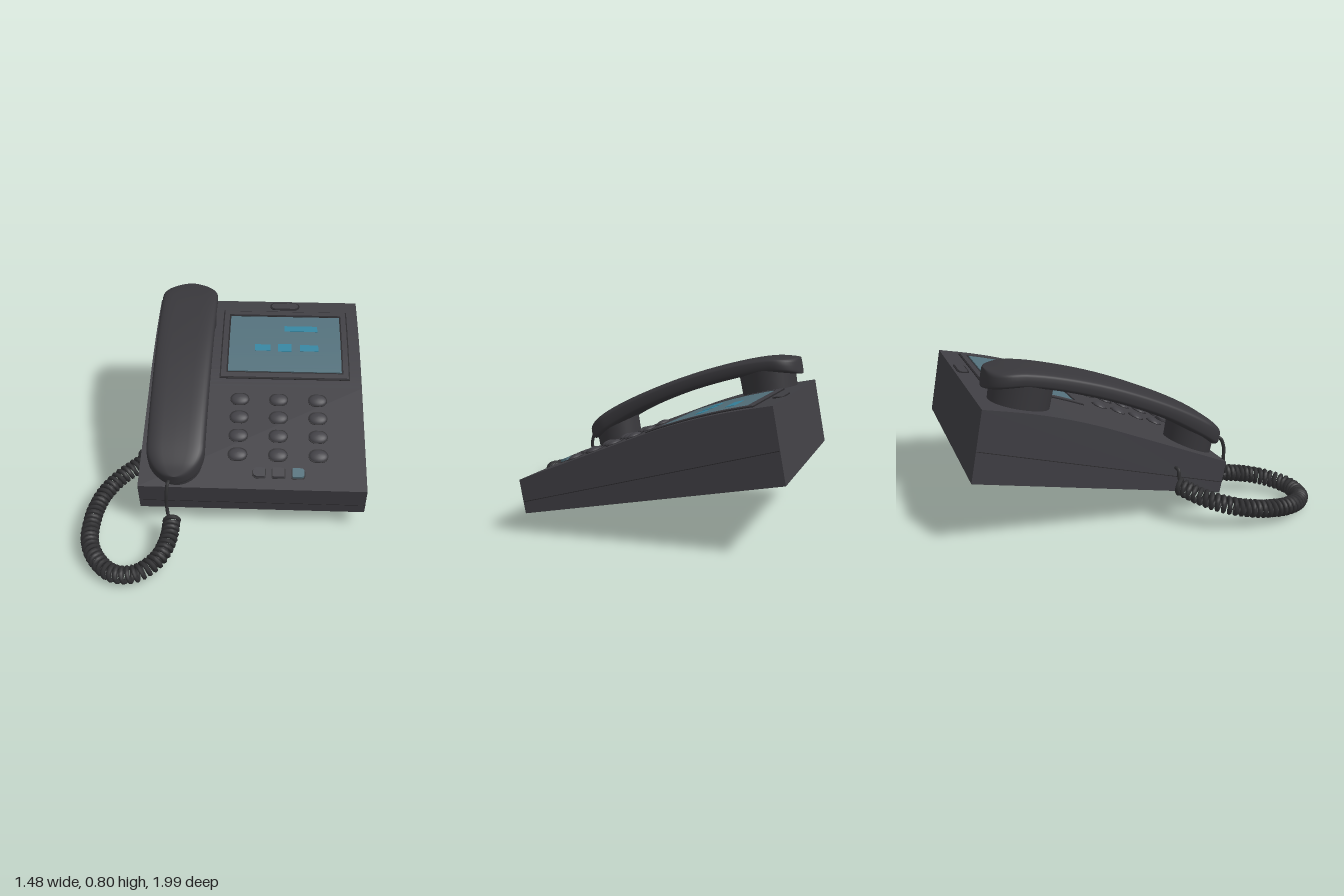
import * as THREE from 'three';
import { toCreasedNormals } from 'three/addons/utils/BufferGeometryUtils.js';

const mat = (name, color) => new THREE.MeshStandardMaterial({ name, color });

// Height of the console's top at depth z (front edge z = 0, back z = -1.25)
function topY(z) {
  const a = Math.max(0, -z), c = Math.min(Math.max(a - 0.62, 0), 0.53);
  return 0.163 + 0.2 * Math.min(a, 0.62) + 0.2 * c - (0.1 / 0.53) * c * c;
}

// Lays a geometry made around y = 0 onto the console's curved top
function drape(geo) {
  const p = geo.attributes.position;
  for (let i = 0; i < p.count; i++) p.setY(i, p.getY(i) + topY(p.getZ(i)));
  geo.computeVertexNormals();
  return geo;
}

// Thin plate between two x and two z values
function plate(x0, x1, z0, z1, lift) {
  const n = Math.max(1, Math.ceil((z1 - z0) / 0.03));
  const g = new THREE.BoxGeometry(x1 - x0, lift + 0.004, z1 - z0, 1, 1, n);
  g.translate((x0 + x1) / 2, (lift - 0.004) / 2, (z0 + z1) / 2);
  return drape(g);
}

// Flat plate with rounded left and right ends
function pill(w, d, rl, rr, x, z, lift) {
  const s = new THREE.Shape(), a = w / 2, b = d / 2, H = Math.PI / 2;
  s.absarc(a - rr, -b + rr, rr, -H, 0);
  s.absarc(a - rr, b - rr, rr, 0, H);
  s.absarc(-a + rl, b - rl, rl, H, 2 * H);
  s.absarc(-a + rl, -b + rl, rl, 2 * H, 3 * H);
  const g = new THREE.ExtrudeGeometry(s, { depth: lift + 0.004, bevelEnabled: false, curveSegments: 8 });
  g.rotateX(-H).translate(x, -0.004, z);
  return drape(g);
}

// Handset grip lofted from rounded cross-sections; stations hold (z, top, bottom)
function gripGeometry() {
  const path = new THREE.CatmullRomCurve3([
    [0.023, 0.27, 0.215], [-0.03, 0.315, 0.215], [-0.13, 0.365, 0.255], [-0.357, 0.432, 0.338],
    [-0.716, 0.497, 0.41], [-1.064, 0.512, 0.43], [-1.225, 0.482, 0.395],
  ].map(p => new THREE.Vector3(...p)));
  const M = 56, N = 32, pos = [], idx = [];
  const soft = v => Math.sign(v) * Math.sqrt(Math.abs(v));
  const cap = (d, len, e) => d >= len ? 1 : Math.pow(Math.max(0, 1 - Math.pow(1 - d / len, e)), 1 / e);
  for (let i = 0; i <= M; i++) {
    const p = path.getPoint((1 - Math.cos(Math.PI * i / M)) / 2);
    const h = (0.142 - 0.011 * p.x) * cap(0.023 - p.x, 0.14, 2) * cap(p.x + 1.225, 0.13, 2.3);
    for (let j = 0; j < N; j++) {
      const t = 2 * Math.PI * j / N;
      pos.push(h * soft(Math.cos(t)), (p.y + p.z) / 2 + (p.y - p.z) / 2 * soft(Math.sin(t)), p.x);
      if (i < M) {
        const a = i * N + j, b = i * N + (j + 1) % N;
        idx.push(a, a + N, b, b, a + N, b + N);
      }
    }
  }
  const g = new THREE.BufferGeometry();
  g.setAttribute('position', new THREE.Float32BufferAttribute(pos, 3));
  g.setIndex(idx);
  g.computeVertexNormals();
  return g;
}

// Coil wound around a guide curve
class Coil extends THREE.Curve {
  constructor(guide, turns, radius) {
    super();
    Object.assign(this, { guide, turns, radius });
  }
  getPoint(t, out = new THREE.Vector3()) {
    const tan = this.guide.getTangentAt(t);
    const side = new THREE.Vector3(0, 1, 0).cross(tan).normalize();
    const up = tan.clone().cross(side);
    const a = t * this.turns * 2 * Math.PI;
    return out.copy(this.guide.getPointAt(t))
      .addScaledVector(side, this.radius * Math.cos(a))
      .addScaledVector(up, this.radius * Math.sin(a));
  }
}

export function createModel() {
  const casing = mat('casing', 0x403f44), grip = mat('handset grey', 0x38373b);
  const keyGrey = mat('key grey', 0x434247), line = mat('seam dark', 0x29282b);
  const cordBlack = mat('cord black', 0x303032), glass = mat('screen glass', 0x53707b);
  const mark = mat('screen mark', 0x35849f);

  const model = new THREE.Group();
  const phone = new THREE.Group();
  phone.name = 'phone';
  phone.position.set(0.195, 0.1, 0.345);
  phone.rotation.set(0.189, 0.333, 0, 'YXZ');
  model.add(phone);
  const add = (name, geo, m, parent = phone) => {
    const mesh = new THREE.Mesh(geo, m);
    mesh.name = name;
    parent.add(mesh);
    return mesh;
  };

  // Console
  const W = 1.132, D = 1.25;
  const side = new THREE.Shape();
  side.moveTo(0, 0);
  side.lineTo(D, 0);
  for (let a = D; a > 0.6; a -= 0.025) side.lineTo(a, topY(-a));
  side.lineTo(0, topY(0));
  const body = new THREE.ExtrudeGeometry(side, { depth: W, bevelEnabled: false });
  body.rotateY(Math.PI / 2).translate(-W / 2, 0, 0);
  add('console', toCreasedNormals(body, 0.4), casing);

  // Seam around the front and sides
  const seamTilt = Math.atan2(0.094, D);
  for (const s of [-1, 1]) {
    const seam = add('sideSeam', new THREE.BoxGeometry(0.002, 0.003, D), line);
    seam.position.set(s * W / 2, 0.103, -D / 2);
    seam.rotation.x = seamTilt;
  }
  add('frontSeam', new THREE.BoxGeometry(W, 0.003, 0.002), line).position.y = 0.056;

  // Display with its double border
  function border(name, x0, x1, z0, z1, w, lift, m) {
    add(name, plate(x0, x1, z0, z0 + w, lift), m);
    add(name, plate(x0, x1, z1 - w, z1, lift), m);
    add(name, plate(x0, x0 + w, z0 + w, z1 - w, lift), m);
    add(name, plate(x1 - w, x1, z0 + w, z1 - w, lift), m);
  }
  border('displayOutline', -0.194, 0.505, -1.155, -0.647, 0.007, 0.004, line);
  border('displayFrame', -0.187, 0.498, -1.148, -0.654, 0.028, 0.008, casing);
  border('displayGroove', -0.159, 0.47, -1.12, -0.682, 0.01, 0.004, line);
  add('display', plate(-0.151, 0.462, -1.106, -0.694, 0.006), glass);
  for (const [x, z, w, d] of [[0.244, -1.005, 0.185, 0.042], [0.033, -0.858, 0.085, 0.045],
    [0.155, -0.858, 0.075, 0.055], [0.289, -0.858, 0.1, 0.045]])
    add('displayMark', plate(x - w / 2, x + w / 2, z - d / 2, z + d / 2, 0.008), mark);

  // Indicator above the display
  add('indicatorRim', pill(0.168, 0.062, 0.03, 0.03, 0.155, -1.205, 0.003), line);
  add('indicator', pill(0.15, 0.046, 0.022, 0.022, 0.155, -1.205, 0.006), casing);

  // Number keys
  for (let r = 0; r < 4; r++) for (let c = 0; c < 3; c++) {
    const x = -0.079 + 0.204 * c, z = -0.517 + 0.109 * r;
    add('keyRim', pill(0.1, 0.074, 0.0369, 0.0369, x, z, 0.002), line);
    const key = new THREE.SphereGeometry(1, 20, 12).scale(0.047, 0.018, 0.034);
    add('key', drape(key.translate(x, 0, z)), keyGrey);
  }

  // Row of small buttons near the front edge
  [[0.032, 0.022, 0.006, keyGrey], [0.13, 0.005, 0.005, keyGrey], [0.228, 0.006, 0.016, glass]]
    .forEach(([x, rl, rr, m]) => {
      add('buttonRim', pill(0.069, 0.057, rl + 0.002, rr + 0.002, x, -0.087, 0.002), line);
      add('smallButton', pill(0.06, 0.048, rl, rr, x, -0.087, 0.014), m);
    });

  // Handset with mouthpiece and earpiece
  const handset = new THREE.Group();
  handset.name = 'handset';
  handset.position.x = -0.377;
  phone.add(handset);
  add('handsetGrip', gripGeometry(), grip, handset);
  for (const [name, z, r, h] of [['mouthpiece', -0.135, 0.126, 0.11], ['earpiece', -1.04, 0.148, 0.12]]) {
    const cup = new THREE.CylinderGeometry(r, r * 0.98, h, 36).translate(0, h / 2 - 0.004, z);
    add(name, toCreasedNormals(drape(cup), 0.6), grip, handset);
  }

  // Coiled cord with plain leads at both ends
  const curve = pts => new THREE.CatmullRomCurve3(pts.map(p => new THREE.Vector3(...p)));
  const guide = curve([[-0.44, 0.185, 0.31], [-0.51, 0.15, 0.43], [-0.54, 0.12, 0.56],
    [-0.515, 0.092, 0.715], [-0.447, 0.074, 0.85], [-0.34, 0.058, 0.93], [-0.26, 0.052, 0.947],
    [-0.17, 0.06, 0.915], [-0.11, 0.077, 0.82], [-0.103, 0.098, 0.71], [-0.14, 0.125, 0.57]]);
  add('coiledCord', new THREE.TubeGeometry(new Coil(guide, 46, 0.034), 46 * 16, 0.0115, 6), cordBlack, model);
  const leads = [
    [[-0.405, 0.27, 0.29], [-0.435, 0.265, 0.31], [-0.445, 0.225, 0.315], [-0.44, 0.185, 0.33]],
    [[-0.17, 0.32, 0.5], [-0.165, 0.325, 0.55], [-0.163, 0.28, 0.572], [-0.165, 0.2, 0.575], [-0.15, 0.13, 0.59]],
  ];
  for (const pts of leads) add('cordLead', new THREE.TubeGeometry(curve(pts), 24, 0.009, 8), cordBlack, model);

  return model;
}
